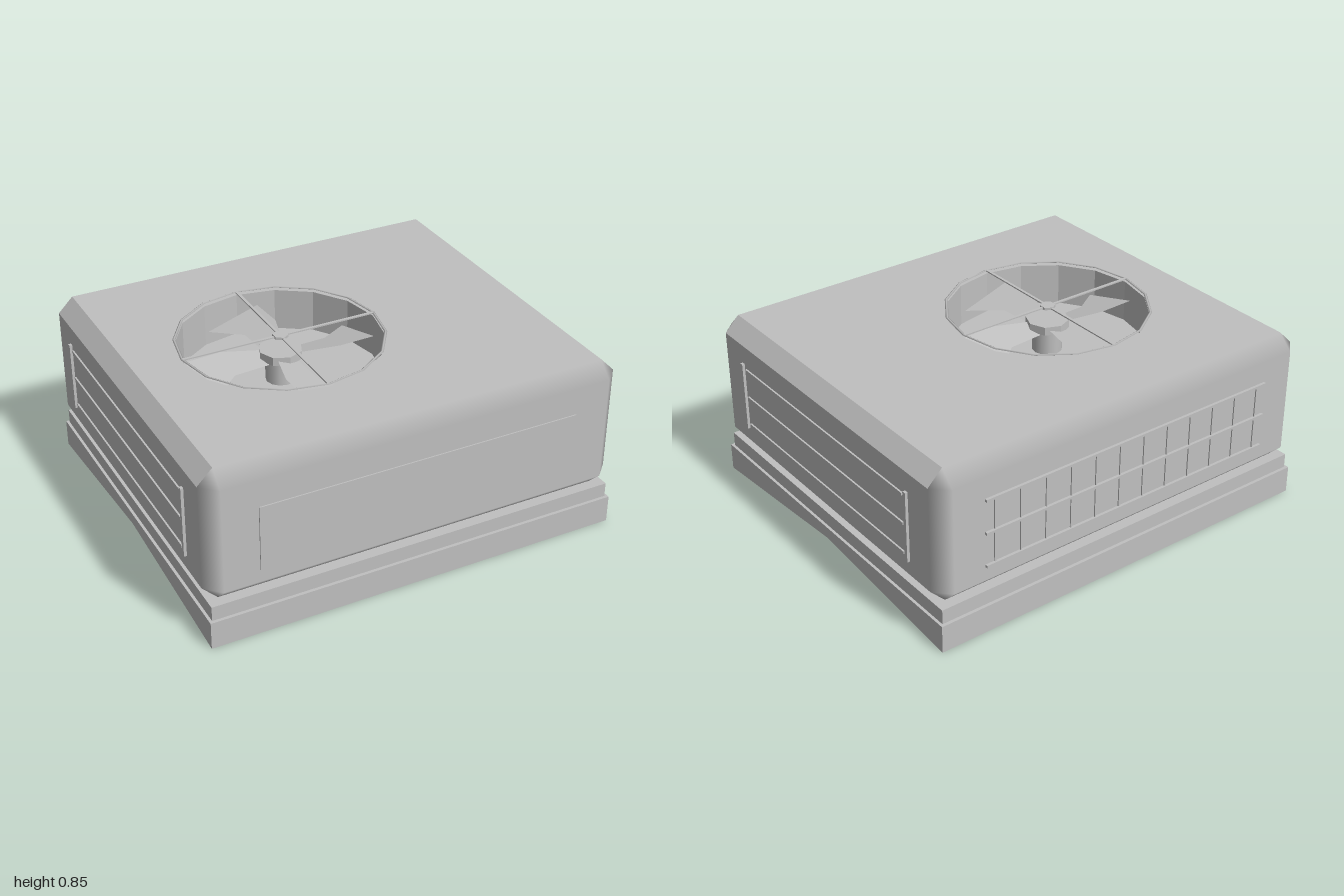
import * as THREE from 'three';

const casing = new THREE.MeshStandardMaterial({ color: 0xc0c0c0, side: THREE.DoubleSide });
casing.name = 'grey casing';

const FAN_X = -0.235, FAN_R = 0.465, TOP = 0.83;

function add(parent, name, geometry, x = 0, y = 0, z = 0) {
  const mesh = new THREE.Mesh(geometry, casing);
  mesh.name = name;
  mesh.position.set(x, y, z);
  parent.add(mesh);
  return mesh;
}

function flat(geometry) {
  const g = geometry.index ? geometry.toNonIndexed() : geometry;
  g.computeVertexNormals();
  return g;
}

// Chamfered box without its top face. Each corner point keeps the normal of the
// main face it lies on, so the bevels blend softly; the upper x bevels stay crisp.
function chamferedShell(half, c) {
  const pos = [], nor = [];
  const point = (signs, axis) => ({
    p: new THREE.Vector3(...signs.map((s, i) => s * (half[i] - (i === axis ? 0 : c)))),
    n: new THREE.Vector3(...signs.map((s, i) => (i === axis ? s : 0))),
  });
  const tri = (a, b, d, crisp) => {
    const n = b.p.clone().sub(a.p).cross(d.p.clone().sub(a.p)).normalize();
    const outward = n.dot(a.p) > 0;
    if (!outward) n.negate();
    for (const v of outward ? [a, b, d] : [a, d, b]) {
      pos.push(...v.p);
      nor.push(...(crisp ? n : v.n));
    }
  };
  const quad = (a, b, d, e, crisp) => { tri(a, b, d, crisp); tri(a, d, e, crisp); };
  const S = [-1, 1];
  for (let axis = 0; axis < 3; axis++) {
    const u = (axis + 1) % 3, v = (axis + 2) % 3;
    const at = (sa, su, sv, on) => {
      const s = [0, 0, 0];
      s[axis] = sa; s[u] = su; s[v] = sv;
      return point(s, on);
    };
    // main faces
    for (const s of S) {
      if (axis === 1 && s === 1) continue;
      quad(at(s, -1, -1, axis), at(s, 1, -1, axis), at(s, 1, 1, axis), at(s, -1, 1, axis));
    }
    // bevels running along this axis
    for (const su of S) for (const sv of S) {
      const crisp = axis === 2 && sv === 1;
      quad(at(-1, su, sv, u), at(1, su, sv, u), at(1, su, sv, v), at(-1, su, sv, v), crisp);
    }
  }
  // corner triangles
  for (const x of S) for (const y of S) for (const z of S) {
    const s = [x, y, z];
    tri(point(s, 0), point(s, 1), point(s, 2));
  }
  const g = new THREE.BufferGeometry();
  g.setAttribute('position', new THREE.Float32BufferAttribute(pos, 3));
  g.setAttribute('normal', new THREE.Float32BufferAttribute(nor, 3));
  return g;
}

function makeBase() {
  const base = new THREE.Group();
  base.name = 'base';
  // skirt with a shallow ridge-shaped underside
  const s = new THREE.Shape();
  s.moveTo(-0.87, 0);
  s.lineTo(0, 0.075);
  s.lineTo(0.87, 0);
  s.lineTo(0.87, 0.13);
  s.lineTo(-0.87, 0.13);
  const skirt = new THREE.ExtrudeGeometry(s, { depth: 1.966, bevelEnabled: false });
  skirt.translate(0, 0, -0.983).rotateY(Math.PI / 2);
  add(base, 'roofSkirt', skirt);
  add(base, 'plinth', new THREE.BoxGeometry(1.94, 0.07, 1.71), 0, 0.163, 0);
  return base;
}

function makeHousing() {
  const housing = new THREE.Group();
  housing.name = 'housing';
  add(housing, 'casingShell', chamferedShell([0.987, 0.3175, 0.87], 0.07), 0, 0.5125, 0);
  // top sheet with the round fan opening
  const sheet = new THREE.Shape();
  sheet.moveTo(-0.917, -0.8);
  sheet.lineTo(0.917, -0.8);
  sheet.lineTo(0.917, 0.8);
  sheet.lineTo(-0.917, 0.8);
  const hole = new THREE.Path();
  for (let i = 0; i < 16; i++) {
    const a = -i * Math.PI / 8;
    const x = FAN_X + FAN_R * Math.cos(a), y = FAN_R * Math.sin(a);
    i ? hole.lineTo(x, y) : hole.moveTo(x, y);
  }
  sheet.holes.push(hole);
  add(housing, 'topSheet', new THREE.ShapeGeometry(sheet).rotateX(-Math.PI / 2), 0, TOP, 0);
  add(housing, 'frontPanel', new THREE.BoxGeometry(1.51, 0.31, 0.008), 0, 0.48, 0.872);
  return housing;
}

function makeFan() {
  const fan = new THREE.Group();
  fan.name = 'fan';
  fan.position.x = FAN_X;
  const well = [[FAN_R, TOP], [FAN_R, 0.63], [0, 0.63]].map(p => new THREE.Vector2(...p));
  add(fan, 'fanWell', flat(new THREE.LatheGeometry(well, 16)));
  add(fan, 'motor', new THREE.CylinderGeometry(0.07, 0.07, 0.12, 12), 0, 0.69, 0);
  add(fan, 'fanHub', flat(new THREE.CylinderGeometry(0.1, 0.1, 0.04, 8)), 0, 0.765, 0);

  // pitched blades
  const outline = [[-0.05, 0.08], [-0.06, 0.25], [-0.175, 0.4], [0.085, 0.425], [0.095, 0.25], [0.05, 0.08]];
  const blade = new THREE.ShapeGeometry(new THREE.Shape(outline.map(p => new THREE.Vector2(...p))));
  blade.rotateX(-Math.PI / 2);
  const p = blade.attributes.position;
  for (let i = 0; i < p.count; i++) p.setY(i, 0.25 * p.getX(i));
  const bladeFlat = flat(blade);
  for (let i = 0; i < 4; i++) add(fan, 'fanBlade', bladeFlat, 0, 0.755, 0).rotation.y = i * Math.PI / 2;

  // wire guard above the opening
  add(fan, 'guardRing', new THREE.TorusGeometry(0.468, 0.007, 4, 16).rotateX(Math.PI / 2).scale(1, 0.6, 1), 0, 0.846, 0);
  add(fan, 'guardSpoke', new THREE.BoxGeometry(0.93, 0.006, 0.013), 0, 0.846, 0);
  add(fan, 'guardSpoke', new THREE.BoxGeometry(0.013, 0.006, 0.93), 0, 0.846, 0);
  add(fan, 'guardCap', flat(new THREE.CylinderGeometry(0.036, 0.036, 0.012, 6)), 0, 0.846, 0);
  return fan;
}

function makeGrilles() {
  const grilles = new THREE.Group();
  grilles.name = 'grilles';
  // side grilles: three slats between two end bars
  for (const s of [-1, 1]) {
    for (const y of [0.36, 0.503, 0.645])
      add(grilles, 'sideSlat', new THREE.BoxGeometry(0.012, 0.012, 1.25), s * 0.989, y, 0);
    for (const z of [-0.65, 0.65])
      add(grilles, 'sideEndBar', new THREE.BoxGeometry(0.016, 0.335, 0.018), s * 0.992, 0.502, z);
  }
  // back grille: three long slats over thin uprights
  for (const y of [0.338, 0.497, 0.655])
    add(grilles, 'backSlat', new THREE.BoxGeometry(1.53, 0.012, 0.016), 0, y, -0.875);
  for (let i = 0; i < 12; i++)
    add(grilles, 'backUpright', new THREE.BoxGeometry(0.006, 0.32, 0.01), -0.718 + i * 0.1305, 0.497, -0.871);
  return grilles;
}

export function createModel() {
  const model = new THREE.Group();
  model.name = 'rooftopCooler';
  model.add(makeBase(), makeHousing(), makeFan(), makeGrilles());
  return model;
}
